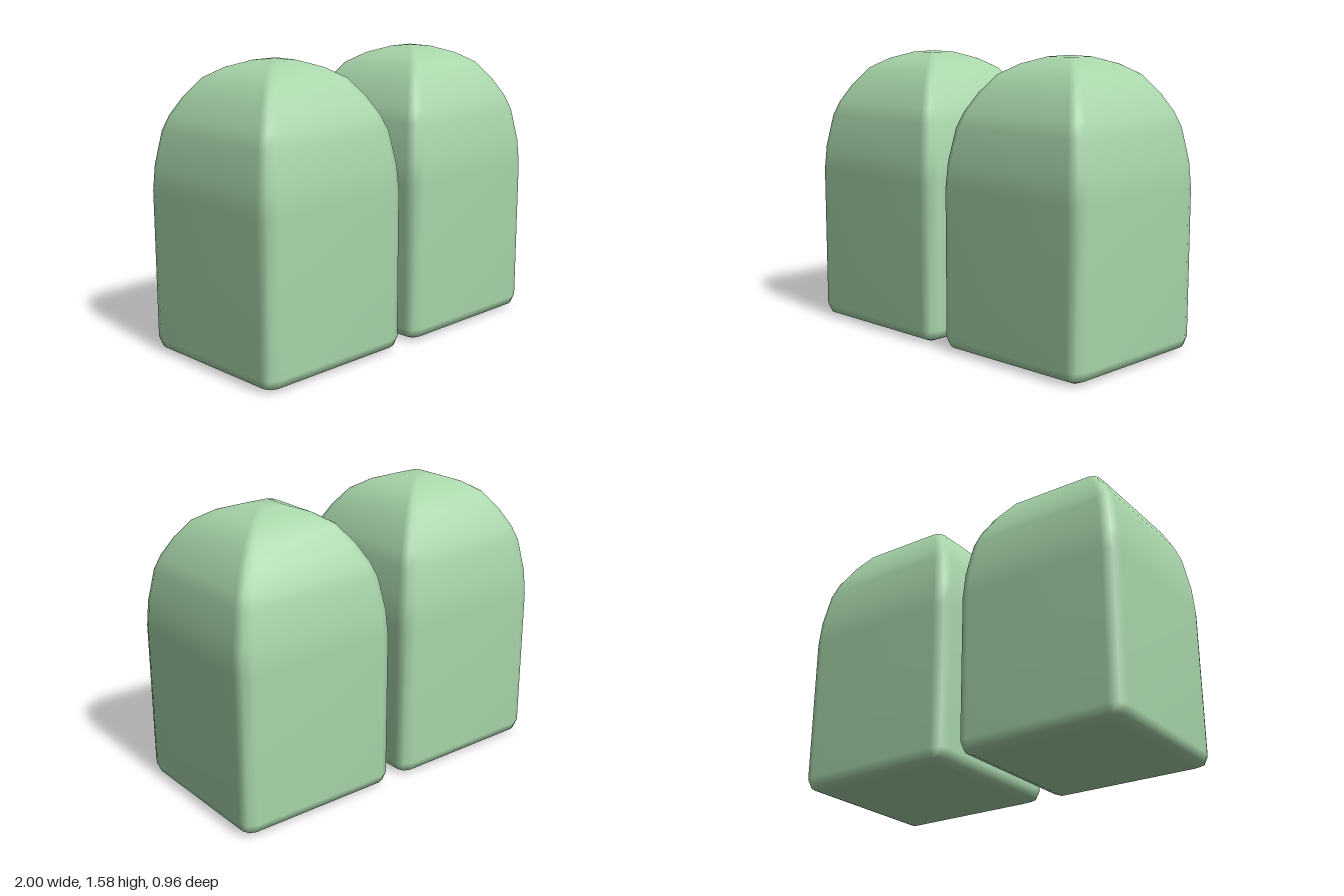
import * as THREE from 'three';

// Cross-sections of one block: [half width, height, corner radius]
const SECTIONS = [
  [0.407, 0, 0.003], [0.457, 0.021, 0.05], [0.478, 0.07, 0.071], [0.478, 0.88, 0.071],
  [0.468, 1.02, 0.07], [0.436, 1.2, 0.065], [0.406, 1.28, 0.06], [0.35, 1.38, 0.052],
  [0.278, 1.475, 0.042], [0.19, 1.53, 0.028], [0.085, 1.567, 0.013],
];
const TOP = 1.575;

// Rounded square outline, three points per corner
function ring(half, y, radius) {
  const points = [];
  const core = half - radius;
  for (let corner = 0; corner < 4; corner++) {
    const mid = Math.PI / 4 + corner * Math.PI / 2;
    const cx = Math.sign(Math.cos(mid)) * core;
    const cz = Math.sign(Math.sin(mid)) * core;
    for (let k = -1; k <= 1; k++) {
      const a = mid + k * Math.PI / 4;
      points.push(cx + radius * Math.cos(a), y, cz + radius * Math.sin(a));
    }
  }
  return points;
}

// Skin the sections and close both ends
function blockGeometry() {
  const n = 12;
  const positions = SECTIONS.flatMap(([half, y, radius]) => ring(half, y, radius));
  const bottom = SECTIONS.length * n;
  const top = bottom + 1;
  positions.push(0, 0, 0, 0, TOP, 0);
  const index = [];
  const last = (SECTIONS.length - 1) * n;
  for (let i = 0; i < n; i++) {
    const j = (i + 1) % n;
    for (let s = 0; s < last; s += n) {
      index.push(s + i, s + n + i, s + j, s + j, s + n + i, s + n + j);
    }
    index.push(bottom, i, j, top, last + j, last + i);
  }
  const geometry = new THREE.BufferGeometry();
  geometry.setAttribute('position', new THREE.Float32BufferAttribute(positions, 3));
  geometry.setIndex(index);
  geometry.computeVertexNormals();
  return geometry;
}

export function createModel() {
  const group = new THREE.Group();
  const paleGreen = new THREE.MeshStandardMaterial({ color: 0xa8d5aa });
  paleGreen.name = 'paleGreen';
  const geometry = blockGeometry();

  // Matching pair of domed blocks
  for (const [name, x] of [['leftBlock', 0.522], ['rightBlock', -0.522]]) {
    const block = new THREE.Mesh(geometry, paleGreen);
    block.name = name;
    block.position.x = x;
    group.add(block);
  }
  return group;
}
